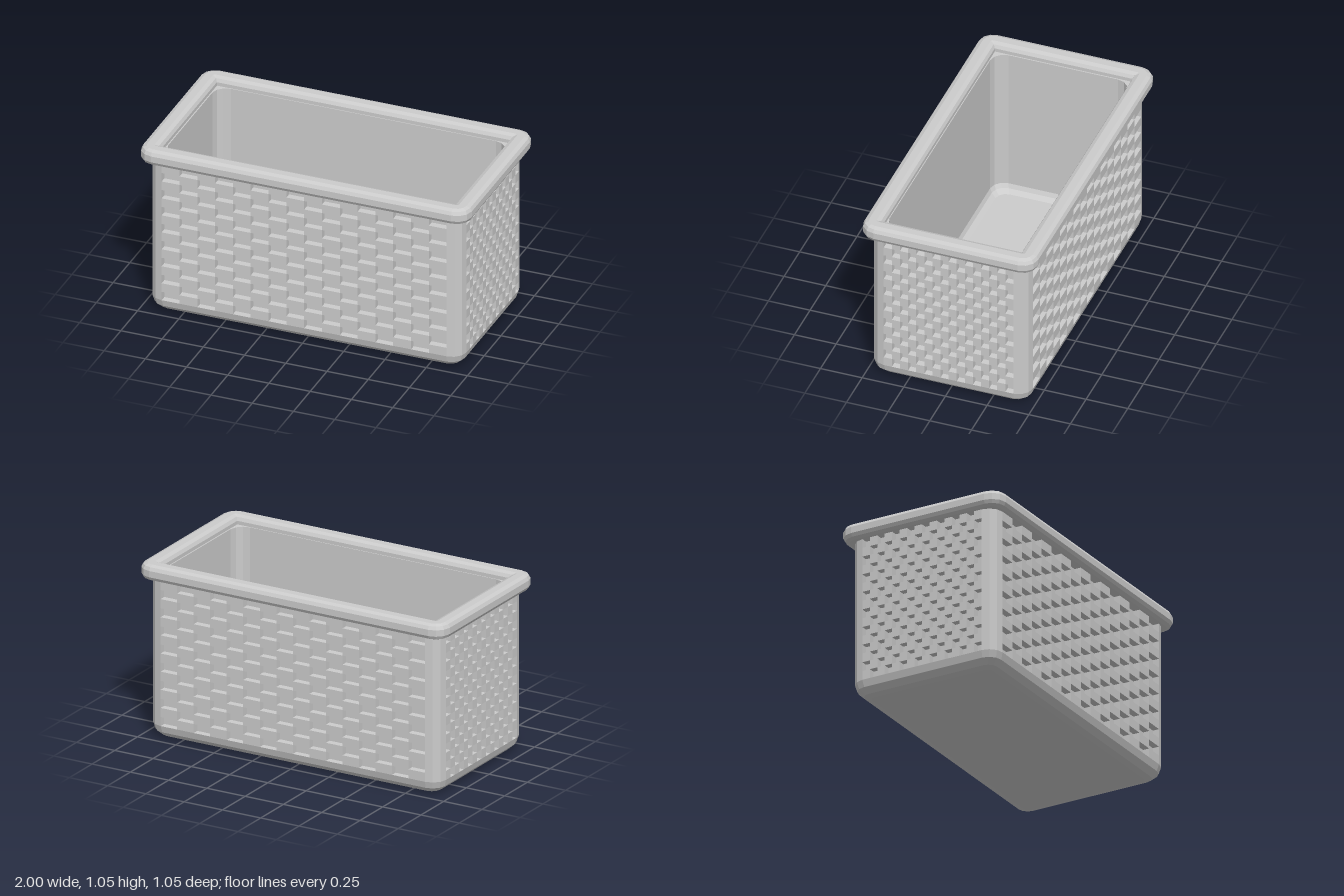
import * as THREE from 'three';

const material = new THREE.MeshStandardMaterial({ color: 0xcccccc, flatShading: true });
const CORNER_SEGS = 3;
const HX = 0.95, HZ = 0.475, R = 0.086; // body half sizes and corner radius
const WEAVE_LOW = 0.083, WEAVE_HIGH = 0.955, CELLS = 16, DEPTH = 0.04;

function quad(out, a, b, c, d) {
  out.push(...a, ...b, ...c, ...a, ...c, ...d);
}

function makeMesh(name, positions) {
  const geometry = new THREE.BufferGeometry();
  geometry.setAttribute('position', new THREE.Float32BufferAttribute(positions, 3));
  geometry.computeVertexNormals();
  const mesh = new THREE.Mesh(geometry, material);
  mesh.name = name;
  return mesh;
}

// Rounded rectangle at height y, running from +x towards +z
function ring({ hx, hz, r, y }) {
  const points = [];
  const signs = [[1, 1], [-1, 1], [-1, -1], [1, -1]];
  signs.forEach(([sx, sz], k) => {
    for (let i = 0; i <= CORNER_SEGS; i++) {
      const t = (k + i / CORNER_SEGS) * Math.PI / 2;
      points.push([sx * (hx - r) + r * Math.cos(t), y, sz * (hz - r) + r * Math.sin(t)]);
    }
  });
  return points;
}

// Skins a list of rings; a ring marked cornersOnly leaves the flat sides above it open
function loft(profile, closed = false) {
  const out = [];
  const rings = profile.map(ring);
  const n = rings[0].length;
  const bands = closed ? rings.length : rings.length - 1;
  for (let i = 0; i < bands; i++) {
    const low = rings[i], high = rings[(i + 1) % rings.length];
    for (let j = 0; j < n; j++) {
      const flatSide = j % (CORNER_SEGS + 1) === CORNER_SEGS;
      if (profile[i].cornersOnly && flatSide) continue;
      const k = (j + 1) % n;
      quad(out, low[j], high[j], high[k], low[k]);
    }
  }
  return out;
}

// Checkerboard of sunken cells in the xy plane, facing +z at distance z
function weavePanel(name, halfWidth, z, phase) {
  const out = [];
  const w = 2 * halfWidth / CELLS, h = (WEAVE_HIGH - WEAVE_LOW) / CELLS;
  for (let row = 0; row < CELLS; row++) {
    for (let col = 0; col < CELLS; col++) {
      const x0 = -halfWidth + col * w, y0 = WEAVE_LOW + row * h;
      const corners = [[x0, y0], [x0 + w, y0], [x0 + w, y0 + h], [x0, y0 + h]];
      const sunken = (row + col + phase) % 2 === 0;
      const front = corners.map(([x, y]) => [x, y, z]);
      const back = corners.map(([x, y]) => [x, y, z - DEPTH]);
      quad(out, ...(sunken ? back : front));
      if (!sunken) continue;
      for (let i = 0; i < 4; i++) {
        const k = (i + 1) % 4;
        quad(out, front[i], front[k], back[k], back[i]);
      }
    }
  }
  return makeMesh(name, out);
}

export function createModel() {
  const model = new THREE.Group();
  model.name = 'basket';

  // Body: underside, bevel, outer corners, lip, inner wall, floor fillet, floor
  const outer = (inset, y, extra) => ({ hx: HX - inset, hz: HZ - inset, r: R - inset * 0.6, y, ...extra });
  const inner = (inset, y) => outer(0.067 + inset, y, { r: 0.08 - inset * 0.5 });
  const center = y => ({ hx: 0, hz: 0, r: 0, y });
  model.add(makeMesh('basketBody', loft([
    center(0),
    outer(0.08, 0),
    outer(0.045, 0.011),
    outer(0.012, 0.042),
    outer(0, WEAVE_LOW, { cornersOnly: true }),
    outer(0, WEAVE_HIGH),
    outer(0, 1.0),
    inner(0, 1.0),
    inner(0, 0.11),
    inner(0.012, 0.085),
    inner(0.04, 0.065),
    center(0.065),
  ])));

  // Woven panels on the four sides
  const panels = [
    ['frontWeave', HX - R, HZ, 0], ['rightWeave', HZ - R, HX, 1],
    ['backWeave', HX - R, HZ, 0], ['leftWeave', HZ - R, HX, 1],
  ];
  panels.forEach(([name, halfWidth, z, phase], i) => {
    const panel = weavePanel(name, halfWidth, z, phase);
    panel.rotation.y = i * Math.PI / 2;
    model.add(panel);
  });

  // Rim: soft-edged bar swept round the opening, mitred on its inner corners
  const SIDES = 12, rimProfile = [];
  const soften = v => Math.sign(v) * Math.abs(v) ** 0.7 / Math.cos(Math.PI / SIDES) ** 0.7;
  for (let i = 0; i < SIDES; i++) {
    const t = (i + 0.5) / SIDES * Math.PI * 2;
    const offset = 0.055 * soften(Math.cos(t));
    rimProfile.push({
      hx: 0.945 + offset, hz: 0.468 + offset,
      r: Math.max(0, 0.035 + offset),
      y: 1.0025 + 0.0475 * soften(Math.sin(t)),
    });
  }
  model.add(makeMesh('rim', loft(rimProfile, true)));

  return model;
}
